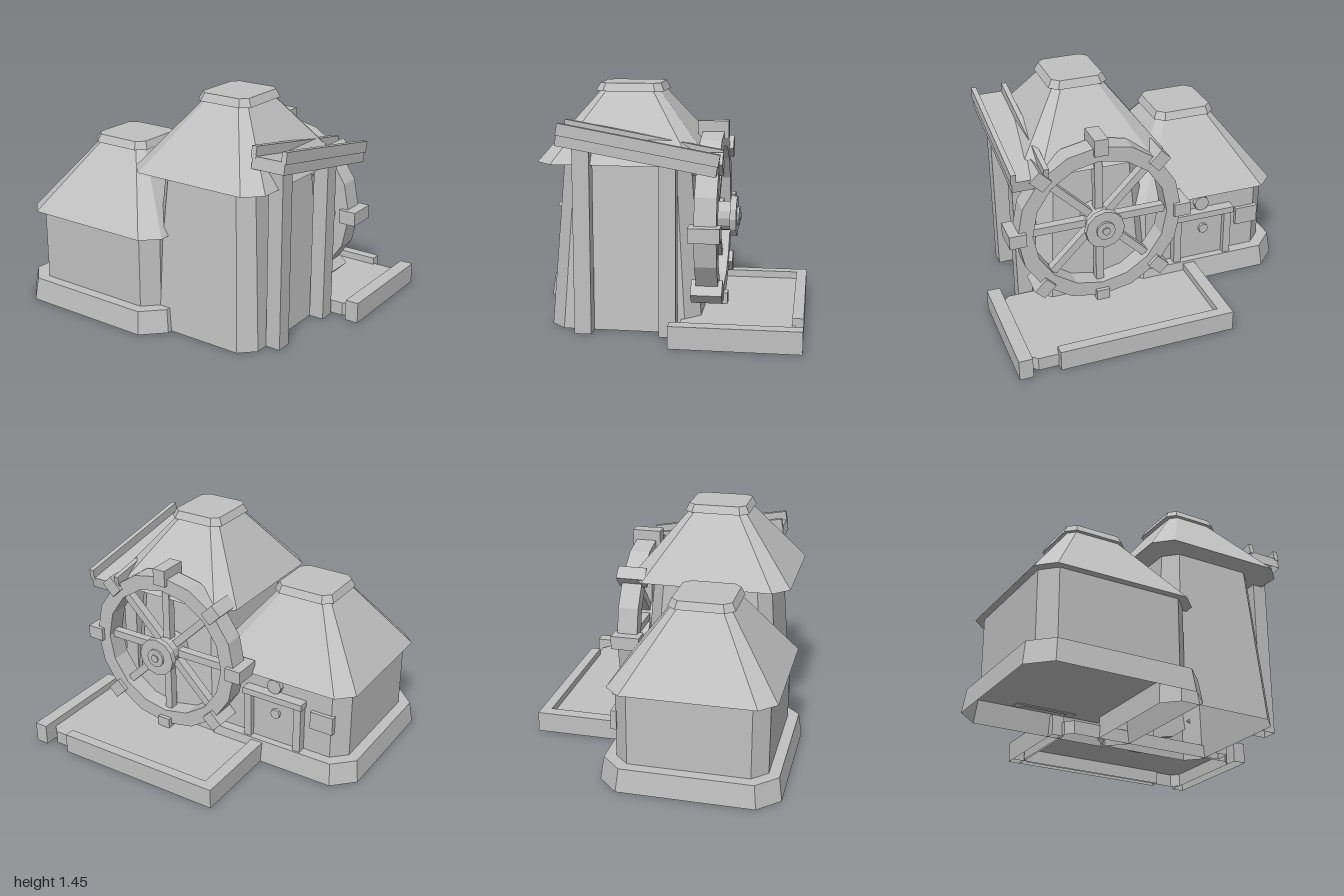
import * as THREE from 'three';

const plaster = new THREE.MeshStandardMaterial({ color: 0xc0c0c0, flatShading: true, side: THREE.DoubleSide });
plaster.name = 'light grey';

// Chamfered rectangle as eight corners; hx, hz are half sizes, c the corner cut
function ring([y, hx, hz, c]) {
  return [
    [hx, y, hz - c], [hx, y, -hz + c], [hx - c, y, -hz], [-hx + c, y, -hz],
    [-hx, y, -hz + c], [-hx, y, hz - c], [-hx + c, y, hz], [hx - c, y, hz],
  ];
}

// Stack of chamfered rectangles joined by flat sides
function loft(sections, closeBottom = false) {
  const rings = sections.map(ring);
  const pos = [];
  const tri = (a, b, c) => pos.push(...a, ...b, ...c);
  for (let s = 0; s + 1 < rings.length; s++) {
    for (let i = 0; i < 8; i++) {
      const j = (i + 1) % 8;
      const [a, b, c, d] = [rings[s][i], rings[s][j], rings[s + 1][j], rings[s + 1][i]];
      tri(a, b, c);
      tri(a, c, d);
    }
  }
  const bottom = rings[0], top = rings[rings.length - 1];
  for (let i = 1; i < 7; i++) {
    tri(top[0], top[i], top[i + 1]);
    if (closeBottom) tri(bottom[0], bottom[i + 1], bottom[i]);
  }
  const g = new THREE.BufferGeometry();
  g.setAttribute('position', new THREE.Float32BufferAttribute(pos, 3));
  g.computeVertexNormals();
  return g;
}

function add(parent, name, geometry, x = 0, y = 0, z = 0) {
  const m = new THREE.Mesh(geometry, plaster);
  m.name = name;
  m.position.set(x, y, z);
  parent.add(m);
  return m;
}

// Box given by its limits on each axis
function box(parent, name, x0, x1, y0, y1, z0, z1) {
  return add(parent, name, new THREE.BoxGeometry(x1 - x0, y1 - y0, z1 - z0),
    (x0 + x1) / 2, (y0 + y1) / 2, (z0 + z1) / 2);
}

// Box without its underside
function openBox(...args) {
  const m = box(...args);
  const index = Array.from(m.geometry.index.array);
  index.splice(18, 6);
  m.geometry.setIndex(index);
  m.geometry.clearGroups();
  return m;
}

// Disc facing along z
function disc(parent, name, r, z0, z1, x = 0, y = 0, sides = 12) {
  const g = new THREE.CylinderGeometry(r, r, z1 - z0, sides).rotateX(Math.PI / 2);
  return add(parent, name, g, x, y, (z0 + z1) / 2);
}

function group(parent, name, x = 0, y = 0, z = 0) {
  const g = new THREE.Group();
  g.name = name;
  g.position.set(x, y, z);
  parent.add(g);
  return g;
}

function polygon(PathType, r, n) {
  const pts = [];
  for (let i = 0; i < n; i++) {
    const a = (i / n) * Math.PI * 2;
    pts.push(new THREE.Vector2(Math.cos(a) * r, Math.sin(a) * r));
  }
  return new PathType().setFromPoints(pts);
}

function buildHut(model) {
  const hut = group(model, 'hut', -0.435, 0, 0.29);
  add(hut, 'hutBase', loft([[0, 0.565, 0.547, 0.13], [0.145, 0.545, 0.527, 0.125]]));
  add(hut, 'hutWalls', loft([[0.145, 0.475, 0.46, 0.09], [0.6, 0.475, 0.46, 0.09]]));
  add(hut, 'hutRoof', loft([[0.6, 0.518, 0.505, 0.1], [1.04, 0.18, 0.175, 0.04]], true));
  add(hut, 'hutRoofCap', loft([[1.035, 0.207, 0.203, 0.055], [1.083, 0.185, 0.18, 0.045]], true));

  // Doorway, lamp and window on the rear wall
  const door = group(model, 'rearDoor');
  box(door, 'doorPanel', -0.6, -0.26, 0.14, 0.47, -0.19, -0.16);
  for (const x of [-0.61, -0.255]) box(door, 'doorPost', x - 0.025, x + 0.025, 0.14, 0.47, -0.225, -0.16);
  box(door, 'doorLintel', -0.645, -0.225, 0.455, 0.497, -0.24, -0.16);
  disc(door, 'doorKnob', 0.033, -0.21, -0.18, -0.445, 0.355, 8);
  disc(door, 'doorLamp', 0.05, -0.205, -0.16, -0.43, 0.545, 8);
  box(door, 'window', -0.84, -0.685, 0.325, 0.445, -0.195, -0.16);
}

function buildTower(model) {
  const tower = group(model, 'tower', 0.31, 0, 0.22);
  add(tower, 'towerWalls', loft([[0, 0.395, 0.455, 0.09], [1.0, 0.322, 0.38, 0.08]]));
  add(tower, 'towerRoof', loft([[1.0, 0.463, 0.515, 0.1], [1.405, 0.155, 0.18, 0.04]], true));
  add(tower, 'towerRoofCap', loft([[1.402, 0.187, 0.205, 0.05], [1.45, 0.162, 0.182, 0.04]], true));
}

function buildFlume(model) {
  // Sloping water channel: hollow floor beam with two side boards
  const flume = group(model, 'flume', 0.75, 1.105, 0.115);
  flume.rotation.x = -0.176;
  openBox(flume, 'flumeFloor', -0.107, 0.107, -0.065, 0.008, -0.467, 0.467);
  for (const s of [-1, 1]) {
    const board = box(flume, 'flumeSide', -0.016, 0.016, -0.004, 0.066, -0.47, 0.47);
    board.position.x = s * 0.099;
  }
  // Posts carrying the channel
  openBox(model, 'flumeFrontPost', 0.705, 0.8, 0, 1.13, 0.4, 0.5);
  openBox(model, 'flumeRearPost', 0.705, 0.8, 0, 1.04, -0.1, 0);
}

function buildWheel(model) {
  const wheel = group(model, 'waterWheel', 0.31, 0.632, -0.27);
  const shape = polygon(THREE.Shape, 0.532, 16);
  shape.holes.push(polygon(THREE.Path, 0.435, 16));
  const rim = new THREE.ExtrudeGeometry(shape, { depth: 0.13, bevelEnabled: false });
  add(wheel, 'wheelRim', rim, 0, 0, -0.067);
  for (let i = 0; i < 8; i++) {
    const arm = group(wheel, 'wheelArm');
    arm.rotation.z = (i * Math.PI) / 4;
    box(arm, 'spoke', 0, 0.45, -0.025, 0.025, -0.028, 0.028);
    box(arm, 'paddle', 0.48, 0.588, -0.043, 0.043, -0.092, 0.092);
  }
  // Axle and stepped hub
  disc(wheel, 'axle', 0.045, -0.14, 0.2);
  disc(wheel, 'hubCollar', 0.09, -0.11, 0.08);
  disc(wheel, 'hubPlate', 0.125, -0.146, -0.108);
  disc(wheel, 'hubCap', 0.06, -0.16, -0.14);
  disc(wheel, 'hubPin', 0.026, -0.168, -0.155, 0, 0, 8);
}

function buildPond(model) {
  const pond = group(model, 'pond');
  add(pond, 'pondTray', loft([[0, 0.61, 0.335, 0.045], [0.085, 0.61, 0.335, 0.045]]), 0.305, 0, -0.455);
  openBox(pond, 'pondRearKerb', -0.372, 0.745, 0, 0.13, -0.838, -0.772);
  openBox(pond, 'pondRightKerb', -0.372, -0.293, 0, 0.13, -0.838, -0.2);
  openBox(pond, 'pondLeftKerb', 0.915, 1, 0, 0.133, -0.838, -0.08);
}

export function createModel() {
  const model = new THREE.Group();
  model.name = 'waterMill';
  buildHut(model);
  buildTower(model);
  buildFlume(model);
  buildWheel(model);
  buildPond(model);
  return model;
}
